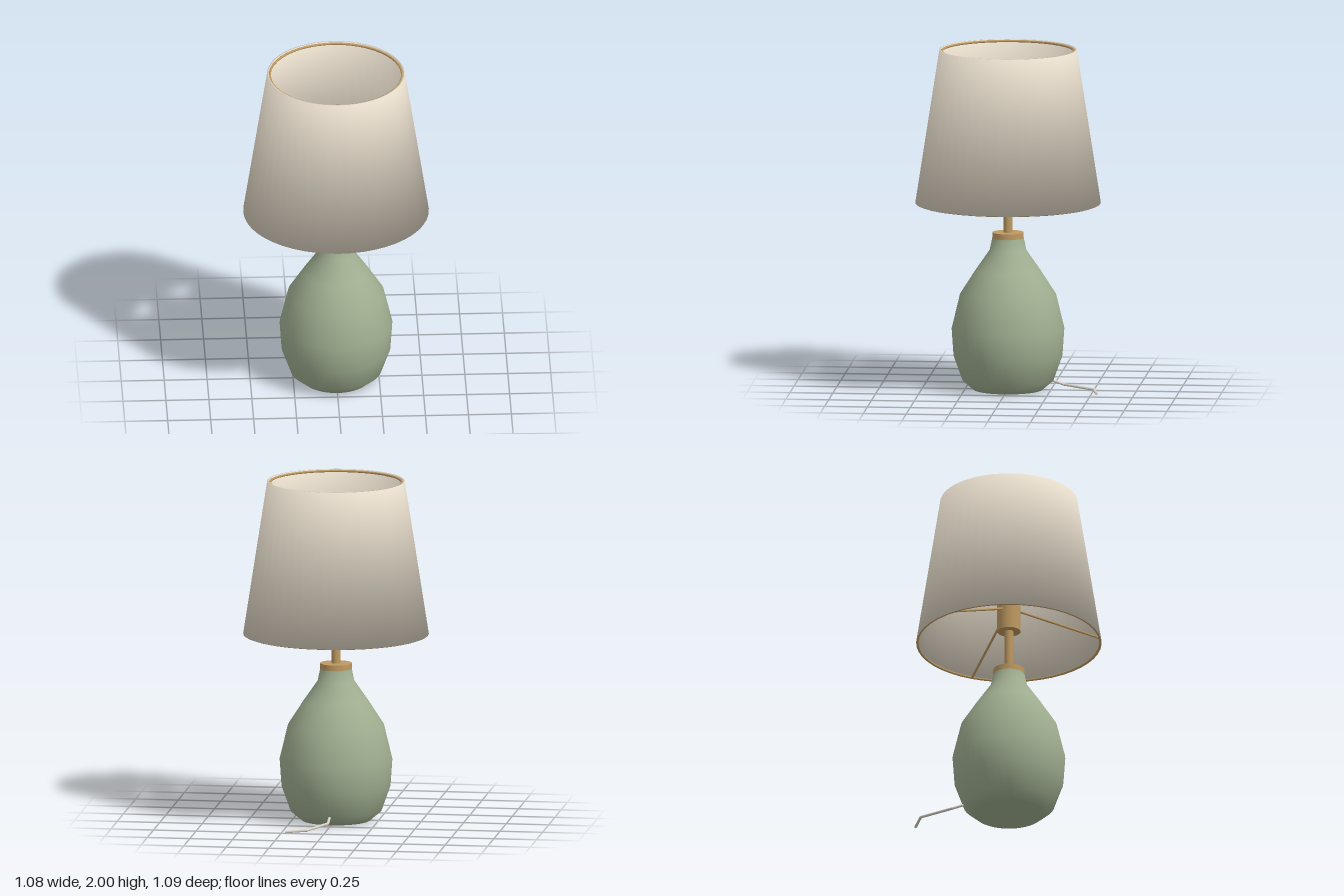
import * as THREE from 'three';

const material = (name, color, side = THREE.FrontSide) => {
  const m = new THREE.MeshStandardMaterial({ color, side });
  m.name = name;
  return m;
};

const v = (x, y, z) => new THREE.Vector3(x, y, z);

const lathe = (points, segments = 48) =>
  new THREE.LatheGeometry(points.map(([r, y]) => new THREE.Vector2(r, y)), segments);

// Closed thin cone wall whose normals are blended evenly across the four rim edges
function shadeGeometry(bottomR, topR, bottomY, topY, wall) {
  const profile = [
    [bottomR - wall, bottomY], [bottomR, bottomY], [topR, topY], [topR - wall, topY], [bottomR - wall, bottomY],
  ];
  const facing = [[-1, -1], [1, -1], [1, 1], [-1, 1], [-1, -1]]; // outward, upward
  const geometry = lathe(profile);
  const { position, normal } = geometry.attributes;
  const slope = Math.atan2(bottomR - topR, topY - bottomY);
  for (let i = 0; i < position.count; i++) {
    const [out, up] = facing[i % facing.length];
    const n = v(position.getX(i), 0, position.getZ(i)).setLength(out * Math.cos(slope));
    n.y = out * Math.sin(slope) + up;
    n.normalize();
    normal.setXYZ(i, n.x, n.y, n.z);
  }
  return geometry;
}

export function createModel() {
  const group = new THREE.Group();
  const sage = material('sage glaze', 0xa0af91);
  const linen = material('linen', 0xe3d9c8, THREE.DoubleSide);
  const brass = material('brass', 0xbf9a62);
  const glass = material('bulb glass', 0xe4dbce, THREE.DoubleSide);
  const cable = material('cable', 0xdad4c8);

  const add = (name, geometry, mat, y = 0) => {
    const mesh = new THREE.Mesh(geometry, mat);
    mesh.name = name;
    mesh.position.y = y;
    group.add(mesh);
    return mesh;
  };
  // Straight round bar between two points
  const rod = (name, a, b, radius, mat) => {
    const dir = b.clone().sub(a);
    const mesh = add(name, new THREE.CylinderGeometry(radius, radius, dir.length(), 8), mat);
    mesh.position.copy(a).add(b).multiplyScalar(0.5);
    mesh.quaternion.setFromUnitVectors(v(0, 1, 0), dir.normalize());
  };
  const ring = (name, radius, tube, y) =>
    add(name, new THREE.TorusGeometry(radius, tube, 8, 48).rotateX(Math.PI / 2), brass, y);

  // Ceramic body
  add('base', lathe([
    [0, 0], [0.2, 0], [0.265, 0.055], [0.317, 0.2], [0.328, 0.36],
    [0.28, 0.56], [0.19, 0.7], [0.107, 0.82], [0.09, 0.9],
  ]), sage);

  // Brass fittings
  add('collar', new THREE.CylinderGeometry(0.092, 0.092, 0.035, 32), brass, 0.907);
  add('stem', new THREE.CylinderGeometry(0.026, 0.026, 0.3, 20), brass, 1.06);
  add('socket', new THREE.CylinderGeometry(0.068, 0.068, 0.18, 24), brass, 1.26);

  // Bulb with a flared neck
  add('bulb', new THREE.SphereGeometry(0.14, 32, 20), glass, 1.52);
  add('bulbNeck', lathe([[0.055, 1.34], [0.06, 1.37], [0.1, 1.425]], 24), glass);

  // Shade with a wire ring just inside each rim
  add('shade', shadeGeometry(0.54, 0.4, 1.098, 2, 0.01), linen);
  ring('shadeTopRing', 0.385, 0.007, 1.99);
  ring('shadeBottomRing', 0.532, 0.007, 1.102);

  // Three arms carry the shade from the socket
  for (let i = 0; i < 3; i++) {
    const angle = THREE.MathUtils.degToRad(97.5 + i * 120);
    const at = (r, y) => v(Math.cos(angle) * r, y, Math.sin(angle) * r);
    rod('shadeArm', at(0.05, 1.3), at(0.53, 1.103), 0.007, brass);
  }

  // Power cord leaving the back
  const path = [v(0, 0.06, -0.25), v(0, 0.033, -0.33), v(0.1, 0.022, -0.51), v(0.222, 0.015, -0.538)];
  for (let i = 1; i < path.length; i++) {
    rod('cord', path[i - 1], path[i], 0.008, cable);
    if (i < path.length - 1) {
      add('cordBend', new THREE.SphereGeometry(0.008, 8, 6), cable).position.copy(path[i]);
    }
  }
  return group;
}
